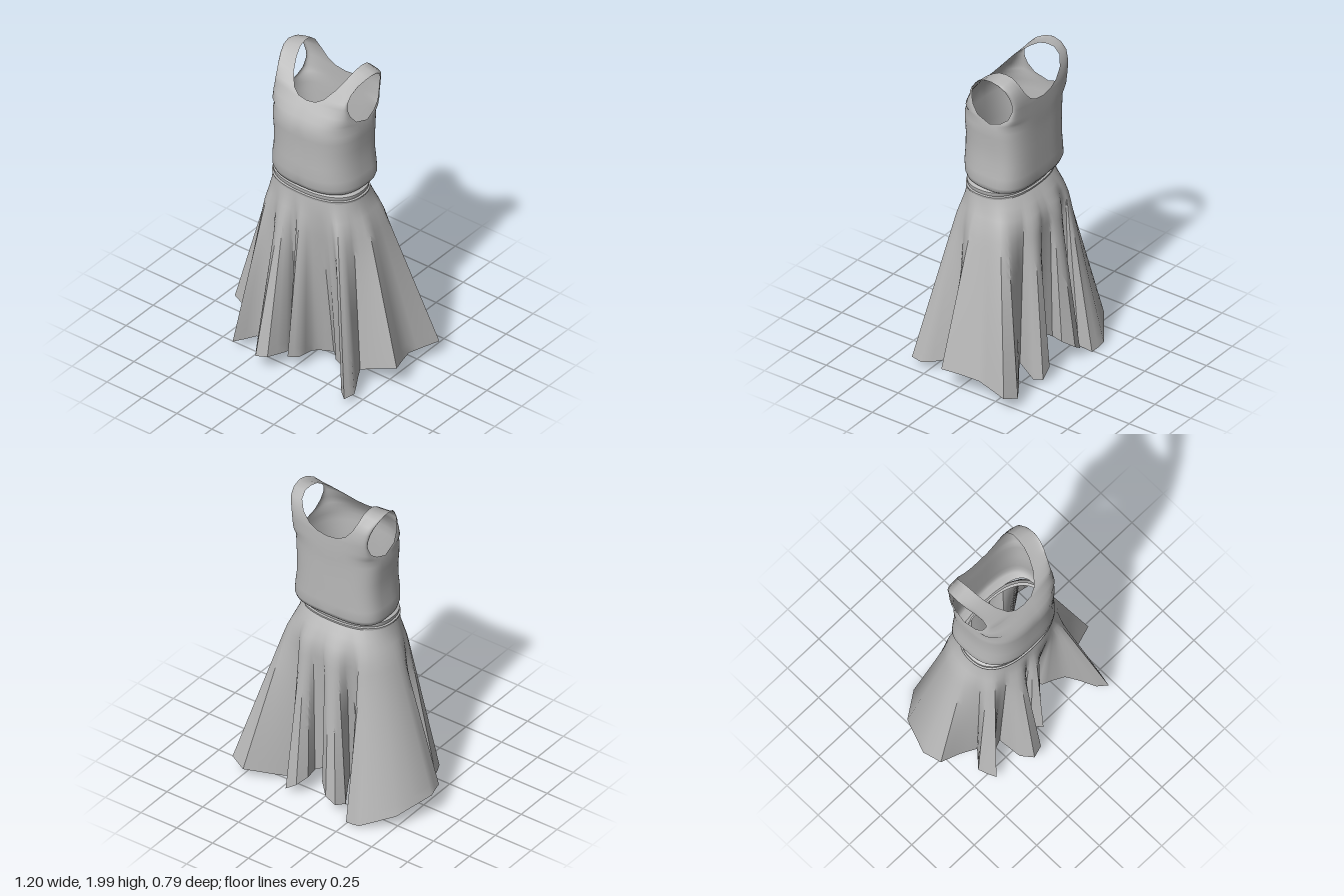
import * as THREE from 'three';
import { mergeVertices, toCreasedNormals } from 'three/addons/utils/BufferGeometryUtils.js';

const { lerp, clamp } = THREE.MathUtils;
const TAU = Math.PI * 2;
const BODY_X = .008; // the torso sits slightly to its left

// Skin a grid of points; flip reverses the winding.
function gridTriangles(rows, out, flip = false) {
  for (let r = 0; r < rows.length - 1; r++) {
    for (let c = 0; c < rows[r].length - 1; c++) {
      const a = rows[r][c], b = rows[r][c + 1], d = rows[r + 1][c], e = rows[r + 1][c + 1];
      const tris = flip ? [a, d, b, b, d, e] : [a, b, d, b, e, d];
      for (const p of tris) out.push(...p);
    }
  }
}

function makeMesh(name, positions, material, crease) {
  let geo = new THREE.BufferGeometry();
  geo.setAttribute('position', new THREE.Float32BufferAttribute(positions, 3));
  geo = mergeVertices(geo, 1e-4);
  geo.computeVertexNormals();
  if (crease) geo = toCreasedNormals(geo, crease);
  const mesh = new THREE.Mesh(geo, material);
  mesh.name = name;
  return mesh;
}

// Point on a rounded-square ring, angle measured from +z towards +x.
function ringPoint(angle, rx, front, back, y) {
  const s = Math.sin(angle), c = Math.cos(angle), rz = c > 0 ? front : back, power = 2.4;
  const k = Math.pow(Math.pow(Math.abs(s / rx), power) + Math.pow(Math.abs(c / rz), power), -1 / power);
  return [BODY_X + s * k, y, c * k];
}

// Hem folds as x, z pairs, from front centre round the left side.
const hem = [
  [0, .30], [.04, .24], [.04, .13], [.06, .09], [.13, .04], [.17, .07], [.19, .10], [.24, .12],
  [.31, .16], [.36, .24], [.40, .32], [.455, .365], [.47, .29], [.41, .18], [.38, .12], [.48, .09], [.595, .06],
  [.52, -.15], [.55, -.27], [.575, -.36], [.48, -.39], [.33, -.29], [.22, -.21], [.18, -.19], [.22, -.31],
  [.20, -.365], [.13, -.36], [.09, -.30], [.10, -.22], [.02, -.23], [-.05, -.25], [-.03, -.33],
  [-.09, -.38], [-.15, -.37], [-.18, -.31], [-.13, -.22], [-.10, -.16], [-.14, -.12], [-.20, -.13],
  [-.26, -.22], [-.21, -.32], [-.24, -.39], [-.34, -.40], [-.51, -.28], [-.60, -.06], [-.57, .05],
  [-.45, .08], [-.35, .12], [-.43, .21], [-.385, .31], [-.30, .20], [-.22, .17], [-.21, .32],
  [-.16, .39], [-.09, .37], [-.05, .25], [-.06, .15], [-.02, .115], [-.01, .14], [-.04, .24],
];

// The hem rises at the sides, the front centre and the back centre.
function hemHeight(x, z) {
  const ax = Math.abs(x);
  const side = Math.max(0, ax - .25) * .3 * clamp(1 - (z - .1) / .15, 0, 1);
  const centre = z < 0 ? .14 * z + Math.max(0, .25 - ax) * .7 : .2 * z * Math.max(0, 1 - ax / .4);
  return .055 + side + centre;
}

// Waist angle of each hem point: between its own direction and an even gather.
function gatherAngles() {
  const n = hem.length, along = [0];
  let own = [];
  hem.forEach(([x, z], i) => {
    const [nx, nz] = hem[(i + 1) % n];
    along.push(along[i] + Math.hypot(nx - x, nz - z));
    const a = Math.atan2(x, z);
    own.push(i ? a + Math.round((own[i - 1] - a) / TAU) * TAU : a);
  });
  for (let pass = 0; pass < 8; pass++) {
    own = own.map((a, i) => {
      const prev = i ? own[i - 1] : own[n - 1] - TAU;
      const next = i < n - 1 ? own[i + 1] : own[0] + TAU;
      return (prev + 2 * a + next) / 4;
    });
  }
  const angles = own.map((a, i) => lerp(a, .07 + along[i] / along[n] * TAU, .5));
  return [...angles, angles[0] + TAU];
}

function buildSkirt(material) {
  const loop = [...hem, hem[0]], angles = gatherAngles();
  const columns = [];
  for (let i = 0; i < hem.length; i++) {
    for (const f of [0, .5]) {
      columns.push([lerp(loop[i][0], loop[i + 1][0], f), lerp(loop[i][1], loop[i + 1][1], f),
        lerp(angles[i], angles[i + 1], f)]);
    }
  }
  columns.push([...hem[0], angles[hem.length]]);
  const rows = [];
  const steps = 18;
  for (let r = 0; r <= steps; r++) {
    const t = 1 - r / steps;
    rows.push(columns.map(([x, z, a]) => {
      const y = lerp(1.195, hemHeight(x, z), t);
      const h = Math.min(1, (1.195 - y) / .2);
      const bulge = Math.sin(h * Math.PI / 2);
      const p = ringPoint(a, .292 + .028 * h, .195 + .016 * h, .195 + .085 * bulge, y);
      const fold = Math.max(0, (t - .05) / .95);
      return [lerp(p[0], x, fold), y, lerp(p[2], z, fold)];
    }));
  }
  const out = [];
  gridTriangles(rows, out);
  return makeMesh('skirt', out, material, .7);
}

function buildWaistband(material) {
  // y and outward offset: a thin piping below a flat band
  const profile = [[1.185, -.01], [1.19, .01], [1.203, .012], [1.207, .002], [1.213, .005],
    [1.232, .006], [1.245, -.015]];
  const rows = profile.map(([y, o]) => {
    const row = [];
    for (let i = 0; i <= 64; i++) row.push(ringPoint(i / 64 * TAU, .288 + o, .188 + o, .187 + o, y));
    return row;
  });
  const out = [];
  gridTriangles(rows, out);
  return makeMesh('waistband', out, material, .6);
}

function buildBodice(material) {
  // Torso: y, half width, front z, back z
  const torso = [[1.235, .274, .175, -.18], [1.25, .287, .197, -.222], [1.28, .295, .211, -.234],
    [1.34, .291, .217, -.233], [1.42, .28, .215, -.232], [1.52, .279, .213, -.231],
    [1.60, .285, .217, -.23], [1.65, .286, .218, -.231]];
  // Chest, strap and back: inner y, x, z then outer y, x, z
  const shoulder = [
    [1.69, 0, .208, 1.69, .283, -.06], [1.72, 0, .195, 1.72, .276, .03], [1.77, 0, .165, 1.77, .265, .07],
    [1.81, 0, .135, 1.81, .258, .083], [1.818, .06, .13, 1.83, .254, .086], [1.845, .105, .11, 1.86, .253, .083],
    [1.90, .15, .06, 1.91, .26, .062], [1.955, .18, -.005, 1.955, .276, .02], [1.99, .195, -.06, 1.98, .292, -.03],
    [2.0, .20, -.11, 1.988, .299, -.08], [1.995, .203, -.16, 1.975, .297, -.13], [1.96, .197, -.2, 1.945, .287, -.17],
    [1.90, .17, -.222, 1.9, .273, -.19], [1.845, .125, -.228, 1.85, .263, -.2], [1.815, .07, -.23, 1.82, .261, -.2],
    [1.805, 0, -.231, 1.80, .261, -.195], [1.76, 0, -.232, 1.75, .267, -.175], [1.72, 0, -.232, 1.715, .276, -.13],
    [1.69, 0, -.232, 1.69, .283, -.06],
  ];
  const front = torso.map(([y, x, zf]) => [y, 0, zf, y, x, -.05]);
  const back = torso.map(([y, x, , zb]) => [y, 0, zb, y, x, -.05]).reverse();
  const side = (mirror) => [...front, ...shoulder, ...back].map(([yi, xi, zi, yo, xo, zo]) => {
    const row = [], power = zi < -.1 ? .62 : .74; // squarer corners at the back
    for (let c = 0; c <= 16; c++) {
      const a = c / 16 * Math.PI / 2;
      const sx = Math.pow(Math.sin(a), power), cz = c === 16 ? 0 : Math.pow(Math.cos(a), power);
      row.push([BODY_X + mirror * lerp(xi, xo, sx), lerp(yi, yo, sx), lerp(zo, zi, cz)]);
    }
    return row;
  });
  const out = [];
  gridTriangles(side(1), out);
  gridTriangles(side(-1), out, true);
  return makeMesh('bodice', out, material);
}

export function createModel() {
  const fabric = new THREE.MeshStandardMaterial({ color: 0xb8b8b8, side: THREE.DoubleSide });
  fabric.name = 'grey fabric';
  const dress = new THREE.Group();
  dress.name = 'dress';
  dress.add(buildSkirt(fabric), buildWaistband(fabric), buildBodice(fabric));
  return dress;
}
